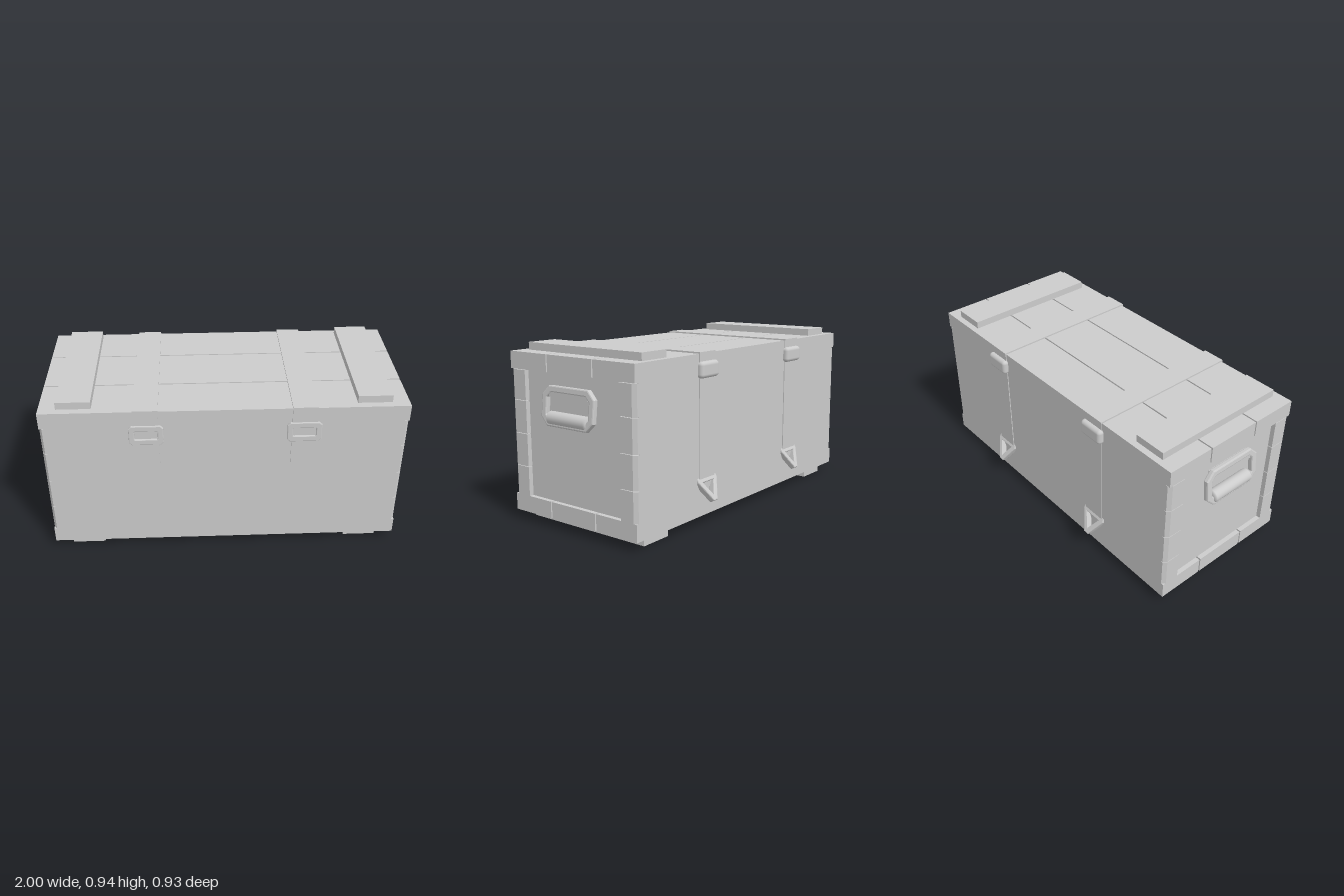
import * as THREE from 'three';
import { RoundedBoxGeometry } from 'three/addons/geometries/RoundedBoxGeometry.js';

const material = new THREE.MeshStandardMaterial({ color: 0xcccccc, flatShading: true });
const smooth = new THREE.MeshStandardMaterial({ color: 0xcccccc });

function add(parent, name, geometry, x = 0, y = 0, z = 0, mat = material) {
  const mesh = new THREE.Mesh(geometry, mat);
  mesh.name = name;
  mesh.position.set(x, y, z);
  parent.add(mesh);
  return mesh;
}

// Box given by its limits on each axis
function box(parent, name, [x0, x1], [y0, y1], [z0, z1]) {
  return add(parent, name, new THREE.BoxGeometry(x1 - x0, y1 - y0, z1 - z0),
    (x0 + x1) / 2, (y0 + y1) / 2, (z0 + z1) / 2);
}

const points = (list) => list.map(([x, y]) => new THREE.Vector2(x, y));

// Rectangle with cut corners, centred on the origin
function cutRect(w, h, c) {
  const a = w / 2, b = h / 2;
  return points([[a - c, -b], [a, -b + c], [a, b - c], [a - c, b],
    [-a + c, b], [-a, b - c], [-a, -b + c], [-a + c, -b]]);
}

function extrude(outline, hole, depth, bevel = 0) {
  const shape = new THREE.Shape(outline);
  if (hole) shape.holes.push(new THREE.Path(hole));
  return new THREE.ExtrudeGeometry(shape, {
    depth: depth - 2 * bevel, bevelEnabled: bevel > 0, bevelSize: bevel,
    bevelThickness: bevel, bevelOffset: -bevel, bevelSegments: 2,
  }).translate(0, 0, bevel);
}

const FRONT = 0.455, BACK = -0.4, END = 0.955, PANEL = 0.93;

function buildBody(root) {
  const body = new THREE.Group();
  body.name = 'body';
  root.add(body);
  box(body, 'core', [-PANEL, PANEL], [0.14, 0.81], [BACK, FRONT]);

  // Lid and floor, three boards each over a backing sheet that closes the gaps
  const boards = [[BACK, -0.134], [-0.126, 0.181], [0.189, FRONT]];
  for (const [name, y0, y1] of [['lid', 0.81, 0.9], ['floor', 0.05, 0.14]]) {
    for (const z of boards) box(body, name + 'Board', [-END, END], [y0, y1], z);
    box(body, name + 'Backing', [-END + 0.012, END - 0.012], [y0 + 0.012, y1 - 0.012], [BACK + 0.01, FRONT - 0.01]);
  }

  // Corner posts with chamfered outer edges, stacked from short blocks
  const levels = [0.14, 0.3, 0.475, 0.65, 0.81];
  for (const side of [-1, 1]) {
    for (const [inner, outer] of [[0.35, FRONT], [-0.3, BACK]]) {
      const s = Math.sign(outer);
      const outline = points([[0.9, inner], [END, inner], [END, outer - s * 0.02],
        [END - 0.015, outer], [0.9, outer]].map(([x, z]) => [side * x, -z]));
      for (let i = 0; i < 4; i++) {
        const geometry = extrude(outline, null, levels[i + 1] - levels[i] - 0.003);
        geometry.rotateX(-Math.PI / 2);
        add(body, 'cornerPost', geometry, 0, levels[i], 0);
      }
    }
    // Battens above and feet below
    const x = [side * 0.775 - 0.09, side * 0.775 + 0.09];
    box(root, 'topBatten', x, [0.9, 0.94], [-0.365, 0.415]);
    box(root, 'foot', x, [0, 0.05], [-0.365, 0.415]);
  }
}

function buildStrap(root, x) {
  const strap = new THREE.Group();
  strap.name = 'strap';
  strap.position.x = x;
  root.add(strap);
  const w = [-0.065, 0.065];
  box(strap, 'strapTop', w, [0.9, 0.908], [BACK - 0.007, FRONT + 0.007]);
  box(strap, 'strapFront', w, [0.8, 0.9], [FRONT, FRONT + 0.007]);
  box(strap, 'strapBack', w, [0.24, 0.9], [BACK - 0.005, BACK]);

  // Front latch: tongue with a cut lower end, and a buckle with a window
  const tongue = points([[-0.065, 0.72], [-0.065, 0.535], [-0.045, 0.512],
    [0.045, 0.512], [0.065, 0.535], [0.065, 0.72]]);
  add(strap, 'latchTongue', extrude(tongue, null, 0.007), 0, 0, FRONT);
  box(strap, 'latchBacking', w, [0.72, 0.8], [FRONT, FRONT + 0.004]);
  add(strap, 'latchBuckle', extrude(cutRect(0.18, 0.115, 0.015), cutRect(0.12, 0.05, 0.004), 0.015, 0.004),
    0, 0.762, FRONT);

  // Rounded hinge sleeve on the back
  add(strap, 'hingeSleeve', new RoundedBoxGeometry(0.15, 0.085, 0.05, 3, 0.02), 0, 0.818, BACK - 0.005, smooth);

  // Hanging triangular loop, swung away from the wall
  const outer = points([[-0.08, 0], [-0.08, -0.025], [-0.015, -0.137], [0.015, -0.137], [0.08, -0.025], [0.08, 0]]);
  const hole = points([[-0.045, -0.03], [0.045, -0.03], [0, -0.105]]);
  const loop = add(strap, 'triangleLoop', extrude(outer, hole, 0.035, 0.006), 0, 0.26, BACK);
  loop.rotation.x = 0.5;
}

function buildHandle(root, side) {
  const handle = new THREE.Group();
  handle.name = 'handle';
  handle.position.z = 0.025;
  handle.rotation.y = side > 0 ? 0 : Math.PI;
  root.add(handle);

  // Eight-sided ring leaning outwards at the bottom
  const ring = extrude(cutRect(0.36, 0.205, 0.045), cutRect(0.29, 0.135, 0.025), 0.03, 0.007);
  ring.translate(0, 0, -0.015).rotateY(Math.PI / 2).rotateZ(0.11);
  add(handle, 'handleRing', ring, 0.963, 0.648, 0);

  // Bracket holding the ring, and the grip
  box(handle, 'handleBracket', [PANEL, 0.968], [0.695, 0.737], [-0.135, 0.135]);
  const grip = new THREE.LatheGeometry(points([[0, -0.135], [0.025, -0.135], [0.035, -0.125],
    [0.035, 0.125], [0.025, 0.135], [0, 0.135]]), 20);
  grip.rotateX(Math.PI / 2);
  add(handle, 'handleGrip', grip, 0.965, 0.587, 0, smooth);
}

export function createModel() {
  const root = new THREE.Group();
  root.name = 'storageCrate';
  buildBody(root);
  for (const side of [-1, 1]) {
    buildStrap(root, side * 0.41);
    buildHandle(root, side);
  }
  return root;
}
